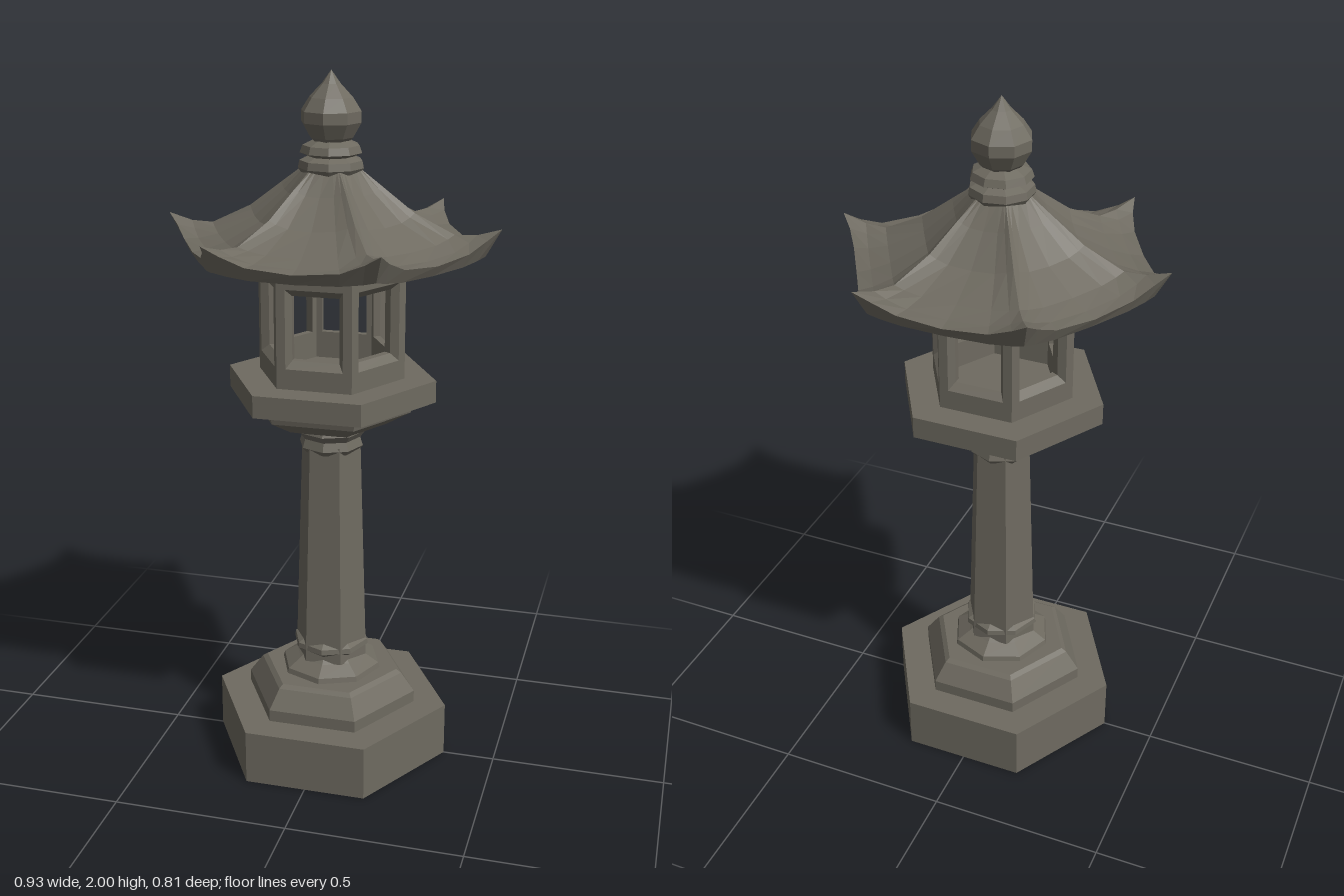
import * as THREE from 'three';

const stone = new THREE.MeshStandardMaterial({ color: 0x6e6a60, flatShading: true });
stone.name = 'weathered stone';

// Joins equal-length closed loops of [x, y, z] points into a faceted skin
function loft(loops) {
  const n = loops[0].length, index = [];
  for (let i = 0; i < loops.length - 1; i++) {
    for (let j = 0; j < n; j++) {
      const k = (j + 1) % n, a = i * n + j, b = i * n + k, c = b + n, d = a + n;
      index.push(a, b, c, a, c, d);
    }
  }
  const geo = new THREE.BufferGeometry();
  geo.setAttribute('position', new THREE.Float32BufferAttribute(loops.flat(2), 3));
  geo.setIndex(index);
  const flat = geo.toNonIndexed();
  flat.computeVertexNormals();
  return flat;
}

// Turned block with few sides: profile is [radius, y] from bottom to top
function turned(profile, sides) {
  return loft(profile.map(([r, y]) => Array.from({ length: sides }, (_, j) => {
    const a = (j / sides) * Math.PI * 2;
    return [r * Math.cos(a), y, -r * Math.sin(a)];
  })));
}

// Hexagonal ring with corners raised by lift and pushed out by flare
function eaveRing([r, y, lift, flare]) {
  const pts = [];
  for (let s = 0; s < 6; s++) {
    const a = (s * Math.PI) / 3, b = a + Math.PI / 3;
    for (const u of [0, 0.08, 0.22, 0.5, 0.78, 0.92]) {
      const w = Math.abs(2 * u - 1) ** 3;
      const k = r + flare * w ** 2;
      pts.push([
        k * (Math.cos(a) * (1 - u) + Math.cos(b) * u),
        y + lift * w,
        -k * (Math.sin(a) * (1 - u) + Math.sin(b) * u),
      ]);
    }
  }
  return pts;
}

// Rectangle loop facing +z
function rect(half, y0, y1, z) {
  return [[-half, y0, z], [half, y0, z], [half, y1, z], [-half, y1, z]];
}

export function createModel() {
  const group = new THREE.Group();
  group.name = 'stoneLantern';
  const add = (name, geo, parent = group) => {
    const mesh = new THREE.Mesh(geo, stone);
    mesh.name = name;
    parent.add(mesh);
    return mesh;
  };

  // Stepped hexagonal foot
  add('base', turned([[0, 0], [0.35, 0], [0.35, 0.16], [0, 0.16]], 6));
  add('plinth', turned([[0.255, 0.16], [0.255, 0.195], [0.215, 0.25], [0.2, 0.26], [0, 0.26]], 6));
  add('lowerCollar', turned([[0.15, 0.255], [0.145, 0.275], [0.105, 0.3], [0.085, 0.315],
    [0.112, 0.335], [0.11, 0.35], [0.085, 0.365]], 8));

  // Tapering post
  add('post', turned([[0.106, 0.3], [0.105, 0.36], [0.086, 0.97]], 6));
  add('upperCollar', turned([[0.08, 0.945], [0.093, 0.96], [0.085, 0.985], [0.1, 1.005], [0.09, 1.03]], 8));

  // Bowl and platform under the light chamber
  add('bowl', turned([[0, 1.005], [0.1, 1.01], [0.16, 1.03], [0.23, 1.07], [0.24, 1.11]], 6));
  add('platform', turned([[0, 1.105], [0.3, 1.105], [0.3, 1.168], [0, 1.168]], 6));

  // Six chamber walls, mitred at the corners, each with a bevelled window
  const apothem = 0.182, depth = 0.04;
  const wall = loft([
    rect(apothem / Math.sqrt(3), 1.165, 1.51, apothem),
    rect(0.08, 1.225, 1.445, apothem),
    rect(0.066, 1.245, 1.425, apothem - 0.02),
    rect(0.066, 1.245, 1.425, apothem - depth),
    rect((apothem - depth) / Math.sqrt(3), 1.165, 1.51, apothem - depth),
  ]);
  const chamber = new THREE.Group();
  chamber.name = 'lightChamber';
  group.add(chamber);
  for (let i = 0; i < 6; i++) add('windowWall', wall, chamber).rotation.y = (i * Math.PI) / 3;

  // Sweeping roof with upturned corners: [radius, y, lift, flare]
  add('roof', loft([
    [0, 1.504, 0, 0],
    [0.25, 1.504, 0, 0],
    [0.425, 1.507, 0.018, 0],
    [0.443, 1.535, 0.065, 0.024],
    [0.40, 1.541, 0.04, 0],
    [0.34, 1.557, 0.022, 0],
    [0.23, 1.607, 0.025, 0],
    [0.14, 1.682, 0.018, 0],
    [0.08, 1.745, 0, 0],
    [0, 1.75, 0, 0],
  ].map(eaveRing)));

  // Finial: ringed neck and pointed jewel
  add('finialNeck', turned([[0.08, 1.73], [0.09, 1.745], [0.086, 1.765], [0.062, 1.775],
    [0.085, 1.785], [0.078, 1.805], [0.045, 1.82]], 9));
  add('finialJewel', turned([[0.035, 1.80], [0.06, 1.825], [0.083, 1.865], [0.083, 1.895],
    [0.06, 1.93], [0.026, 1.965], [0, 2]], 8));

  return group;
}
